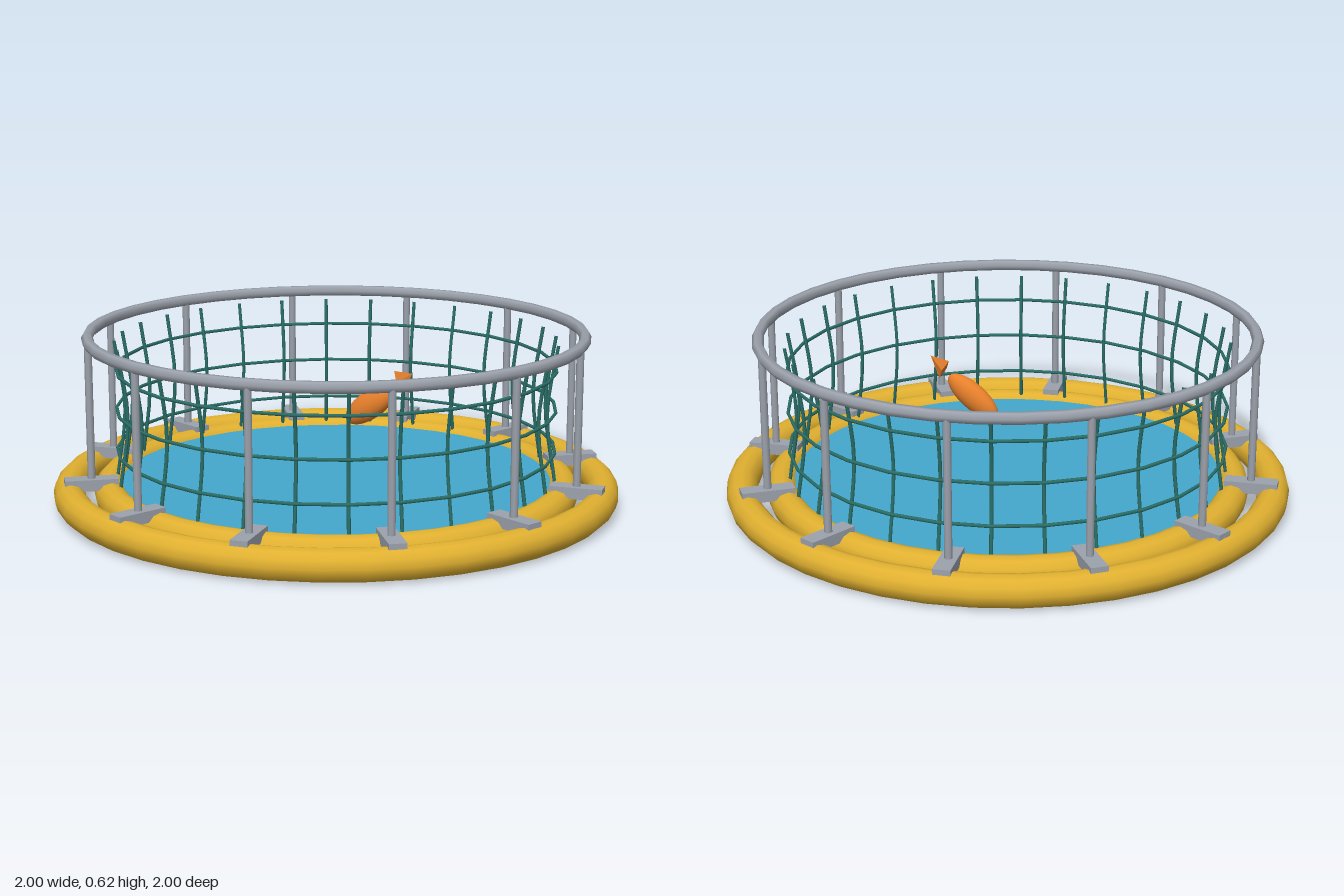
import * as THREE from 'three';

const paint = (color) => new THREE.MeshStandardMaterial({ color });
const yellow = paint(0xe0b030);
const steel = paint(0x9ca2ac);
const netting = paint(0x2b6f68);
const water = paint(0x44a8cc);
const orange = paint(0xe8802c);

const PONTOON_R = 0.055;
const POST_RADIUS = 0.868;
const NET_RADIUS = 0.777;

function add(parent, name, geometry, material, x = 0, y = 0, z = 0) {
  const mesh = new THREE.Mesh(geometry, material);
  mesh.name = name;
  mesh.position.set(x, y, z);
  parent.add(mesh);
  return mesh;
}

// Horizontal ring lying at height y
function addRing(parent, name, radius, tube, sides, segments, y, material) {
  const geometry = new THREE.TorusGeometry(radius, tube, sides, segments).rotateX(-Math.PI / 2);
  return add(parent, name, geometry, material, 0, y, 0);
}

// Calls build(pivot) for count groups spread evenly round the y axis, local +x pointing outwards
function around(parent, name, count, build) {
  for (let i = 0; i < count; i++) {
    const pivot = new THREE.Group();
    pivot.name = name;
    pivot.rotation.y = (i / count) * Math.PI * 2;
    build(pivot);
    parent.add(pivot);
  }
}

// Orients and stretches a mesh along three roughly perpendicular directions
function orient(mesh, along, up, length, height, width) {
  const y = along.clone().normalize();
  const z = new THREE.Vector3().crossVectors(up, y).normalize();
  const x = new THREE.Vector3().crossVectors(y, z);
  mesh.quaternion.setFromRotationMatrix(new THREE.Matrix4().makeBasis(x, y, z));
  mesh.scale.set(height, length, width);
}

function createFish() {
  const fish = new THREE.Group();
  fish.name = 'fish';
  const body = add(fish, 'fishBody', new THREE.SphereGeometry(1, 20, 14), orange, 0.112, 0.355, -0.06);
  orient(body, new THREE.Vector3(0.77, 0.585, -0.27), new THREE.Vector3(-0.6, 0.8, 0), 0.113, 0.05, 0.038);

  // Flattened four-sided tail with its tip pointing away from the body
  const tailMaterial = orange.clone();
  tailMaterial.flatShading = true;
  const tail = add(fish, 'fishTail', new THREE.ConeGeometry(1, 1, 4), tailMaterial, 0.239, 0.465, -0.109);
  orient(tail, new THREE.Vector3(0.84, 0.54, -0.06), new THREE.Vector3(-0.42, 0.9, 0), 0.074, 0.044, 0.013);
  return fish;
}

export function createModel() {
  const model = new THREE.Group();
  model.name = 'fishPen';

  // Floating collar
  addRing(model, 'outerPontoon', 1 - PONTOON_R, PONTOON_R, 12, 40, PONTOON_R, yellow);
  addRing(model, 'innerPontoon', 0.803, PONTOON_R, 12, 40, PONTOON_R, yellow);

  // Water inside the collar
  add(model, 'waterSurface', new THREE.CylinderGeometry(0.775, 0.775, 0.01, 48), water, 0, 0.081, 0);

  // Brackets bridging the pontoons, each carrying a post
  const bracket = new THREE.BoxGeometry(0.185, 0.04, 0.06);
  const post = new THREE.CylinderGeometry(0.0135, 0.0135, 0.49, 8);
  around(model, 'stanchion', 12, (pivot) => {
    add(pivot, 'bracket', bracket, steel, 0.869, 0.104, 0);
    add(pivot, 'post', post, steel, POST_RADIUS, 0.36, 0);
  });
  addRing(model, 'handrail', POST_RADIUS, 0.021, 6, 40, 0.603, steel);

  // Net: three level ropes and upright ropes that sag inwards at mid height
  for (const y of [0.2, 0.347, 0.49]) {
    addRing(model, 'netRing', NET_RADIUS - 0.004, 0.006, 6, 28, y, netting);
  }
  const sag = new THREE.CatmullRomCurve3([
    new THREE.Vector3(NET_RADIUS, 0.085, 0),
    new THREE.Vector3(NET_RADIUS - 0.033, 0.347, 0),
    new THREE.Vector3(NET_RADIUS, 0.585, 0),
  ]);
  const rope = new THREE.TubeGeometry(sag, 8, 0.0065, 6);
  around(model, 'netUpright', 28, (pivot) => add(pivot, 'netRope', rope, netting));

  model.add(createFish());
  return model;
}
